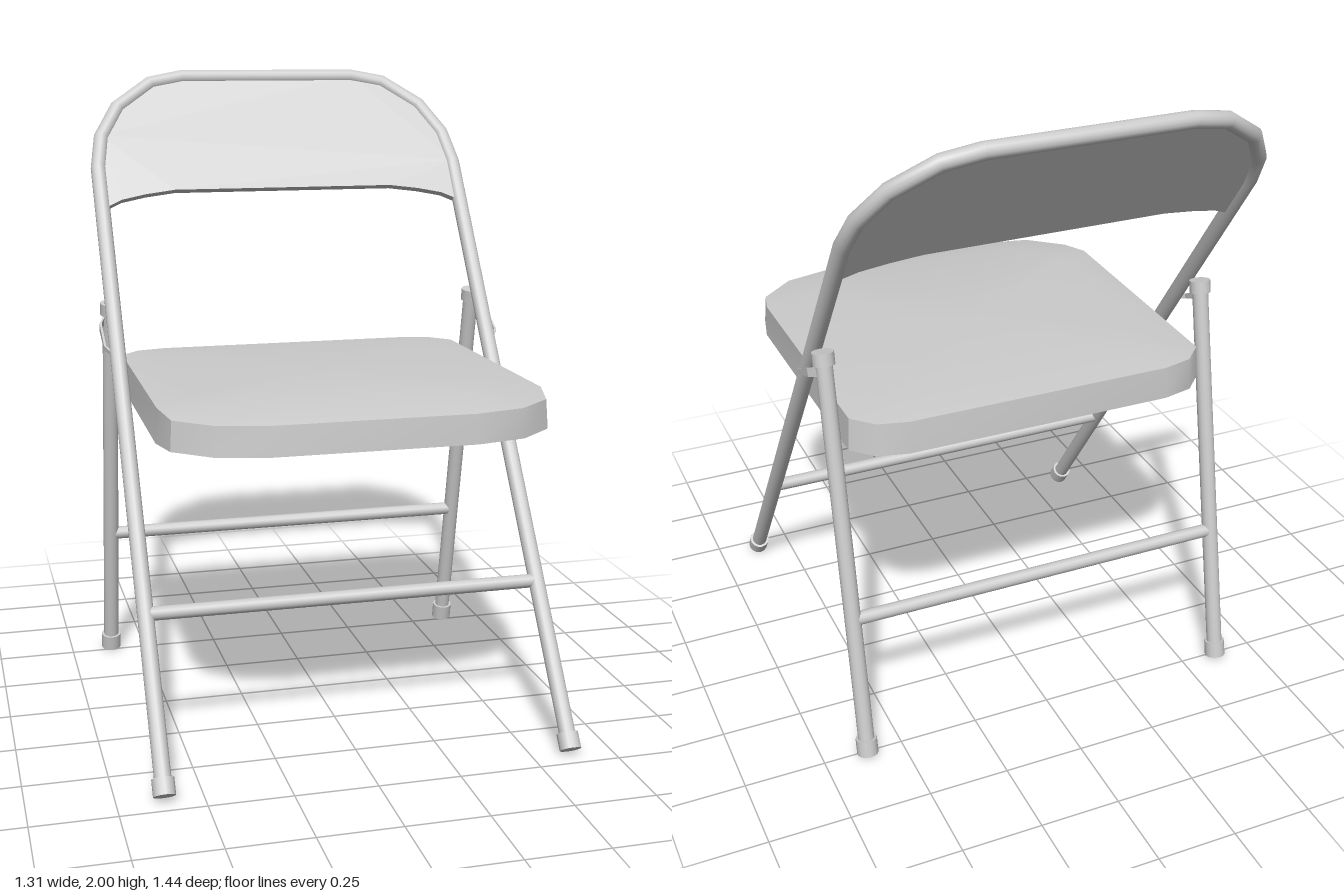
import * as THREE from 'three';
import { toCreasedNormals } from 'three/addons/utils/BufferGeometryUtils.js';

const V = (x, y, z) => new THREE.Vector3(x, y, z);
const material = new THREE.MeshStandardMaterial({ color: 0xcccccc });
const TUBE = 0.025, CAP = 0.033, LEG_X = 0.615;

// Front frame lies in a plane leaning back from the feet
const LEAN = Math.atan2(1.38, 1.95);
const along = (y) => (y - 0.03) / Math.cos(LEAN);

function add(parent, name, geometry) {
  const mesh = new THREE.Mesh(geometry, material);
  mesh.name = name;
  parent.add(mesh);
  return mesh;
}

// Straight round bar between two points
function bar(parent, name, a, b, radius, sides = 14) {
  const dir = b.clone().sub(a);
  const mesh = add(parent, name, new THREE.CylinderGeometry(radius, radius, dir.length(), sides));
  mesh.position.copy(a).add(b).multiplyScalar(0.5);
  mesh.quaternion.setFromUnitVectors(V(0, 1, 0), dir.normalize());
  return mesh;
}

// Path with one tube ring per point, so bends stay crisp
class PointPath extends THREE.Curve {
  constructor(points) { super(); this.points = points; }
  index(u) { return Math.round(u * (this.points.length - 1)); }
  getPointAt(u) { return this.points[this.index(u)].clone(); }
  getTangentAt(u) {
    const i = this.index(u), p = this.points, last = p.length - 1;
    const t = V(0, 0, 0);
    if (i > 0) t.add(p[i].clone().sub(p[i - 1]).normalize());
    if (i < last) t.add(p[i + 1].clone().sub(p[i]).normalize());
    return t.normalize();
  }
}

function createFrontFrame() {
  const frame = new THREE.Group();
  frame.name = 'frontFrame';
  frame.position.set(0, 0.03, 0.69);
  frame.rotation.x = -LEAN;

  // Bent tube: up one side, over the top, down the other
  const bend = [[LEG_X, 1.69], [0.595, 1.785], [0.53, 1.88], [0.41, 1.957], [0.3, 1.977]]
    .map(([x, y]) => V(x, along(y), 0));
  const mirrored = bend.map((p) => V(-p.x, p.y, 0)).reverse();
  const arch = [...bend, ...mirrored];
  const path = [V(LEG_X, 0, 0), ...arch, V(-LEG_X, 0, 0)];
  add(frame, 'frameTube', new THREE.TubeGeometry(new PointPath(path), path.length - 1, TUBE, 14));

  // Backrest panel with a shallow arched lower edge
  const lower = [[-0.605, 1.562], [-0.55, 1.585], [-0.47, 1.6], [-0.37, 1.612]];
  const edge = [...lower, ...lower.map(([x, y]) => [-x, y]).reverse()]
    .map(([x, y]) => new THREE.Vector2(x, along(y)));
  const outline = [...arch.map((p) => new THREE.Vector2(p.x, p.y)), ...edge];
  const panel = new THREE.ExtrudeGeometry(new THREE.Shape(outline), { depth: 0.022, bevelEnabled: false });
  panel.translate(0, 0, -0.011);
  add(frame, 'backrestPanel', panel);

  // Feet and lower crossbar
  for (const s of [-1, 1]) {
    bar(frame, 'frontFoot', V(s * LEG_X, -0.015, 0), V(s * LEG_X, 0.035, 0), CAP);
  }
  const y = along(0.45);
  bar(frame, 'frontCrossbar', V(-0.61, y, 0), V(0.61, y, 0), 0.021);
  return frame;
}

function createRearLegs() {
  const legs = new THREE.Group();
  legs.name = 'rearLegs';
  for (const s of [-1, 1]) {
    const foot = V(s * LEG_X, 0.007, -0.515), top = V(s * LEG_X, 1.275, -0.258);
    bar(legs, 'rearLeg', foot, top, TUBE);
    bar(legs, 'rearFoot', foot, foot.clone().lerp(top, 0.04), CAP);
    bar(legs, 'rearLegCap', top.clone().lerp(foot, 0.03), top, CAP);
  }
  bar(legs, 'rearCrossbar', V(-0.61, 0.45, -0.425), V(0.61, 0.45, -0.425), 0.021);
  return legs;
}

// Thin bowed strap joining the front frame to a rear leg
function createStrap(side) {
  const shape = new THREE.Shape();
  const bow = [[0, 0.637], [0.035, 0.655], [0.155, 0.655], [0.2, 0.637]];
  bow.forEach(([l, x], i) => (i ? shape.lineTo(x, l) : shape.moveTo(x, l)));
  [...bow].reverse().forEach(([l, x]) => shape.lineTo(x - 0.007, l));
  const geometry = new THREE.ExtrudeGeometry(shape, { depth: 0.03, bevelEnabled: false });
  // Taper the strap towards its front end
  const p = geometry.attributes.position;
  for (let i = 0; i < p.count; i++) {
    p.setZ(i, (p.getZ(i) - 0.015) * (0.4 + 3 * p.getY(i)));
  }
  geometry.computeVertexNormals();
  const strap = new THREE.Group();
  strap.name = side > 0 ? 'leftStrap' : 'rightStrap';
  const mesh = add(strap, 'strapPlate', geometry);
  mesh.rotation.x = -Math.PI / 2 + Math.atan2(0.08, 0.18);
  mesh.position.set(0, 1.14, -0.09);
  // The strap is symmetric in section, so a half turn and reflection give the other side
  if (side < 0) strap.scale.x = -1;
  return strap;
}

// Cushion: loops from the flat underside, up the wall, to a softly domed top
function createSeat() {
  const half = [[0.3, 0.705], [0.45, 0.67], [0.56, 0.575], [0.585, 0.47],
    [0.577, -0.34], [0.515, -0.405], [0.42, -0.428]];
  const outline = [...half, ...half.map(([x, z]) => [-x, z]).reverse()];
  const n = outline.length, midZ = 0.1;
  const loop = (scale, yAt) => outline.map(([x, z]) => V(x * scale, yAt(z), midZ + (z - midZ) * scale));
  const loops = [
    loop(0, () => 0.985),
    loop(1, () => 0.985),
    loop(0.99, (z) => (z > 0.5 ? 1.073 : 1.087)),
    loop(0.78, () => 1.1),
    loop(0, () => 1.103),
  ];
  const index = [];
  for (let k = 0; k < loops.length - 1; k++) {
    for (let i = 0; i < n; i++) {
      const j = (i + 1) % n;
      const a = k * n + i, b = k * n + j, c = b + n, d = a + n;
      if (k > 0) index.push(a, b, c);
      if (k === 0) index.push(a, c, d);
      else if (k < loops.length - 2) index.push(a, c, d);
    }
  }
  const geometry = new THREE.BufferGeometry().setFromPoints(loops.flat());
  geometry.setIndex(index);
  return toCreasedNormals(geometry, 0.6);
}

export function createModel() {
  const chair = new THREE.Group();
  chair.name = 'foldingChair';
  chair.add(createFrontFrame(), createRearLegs(), createStrap(1), createStrap(-1));
  add(chair, 'seat', createSeat());
  return chair;
}
